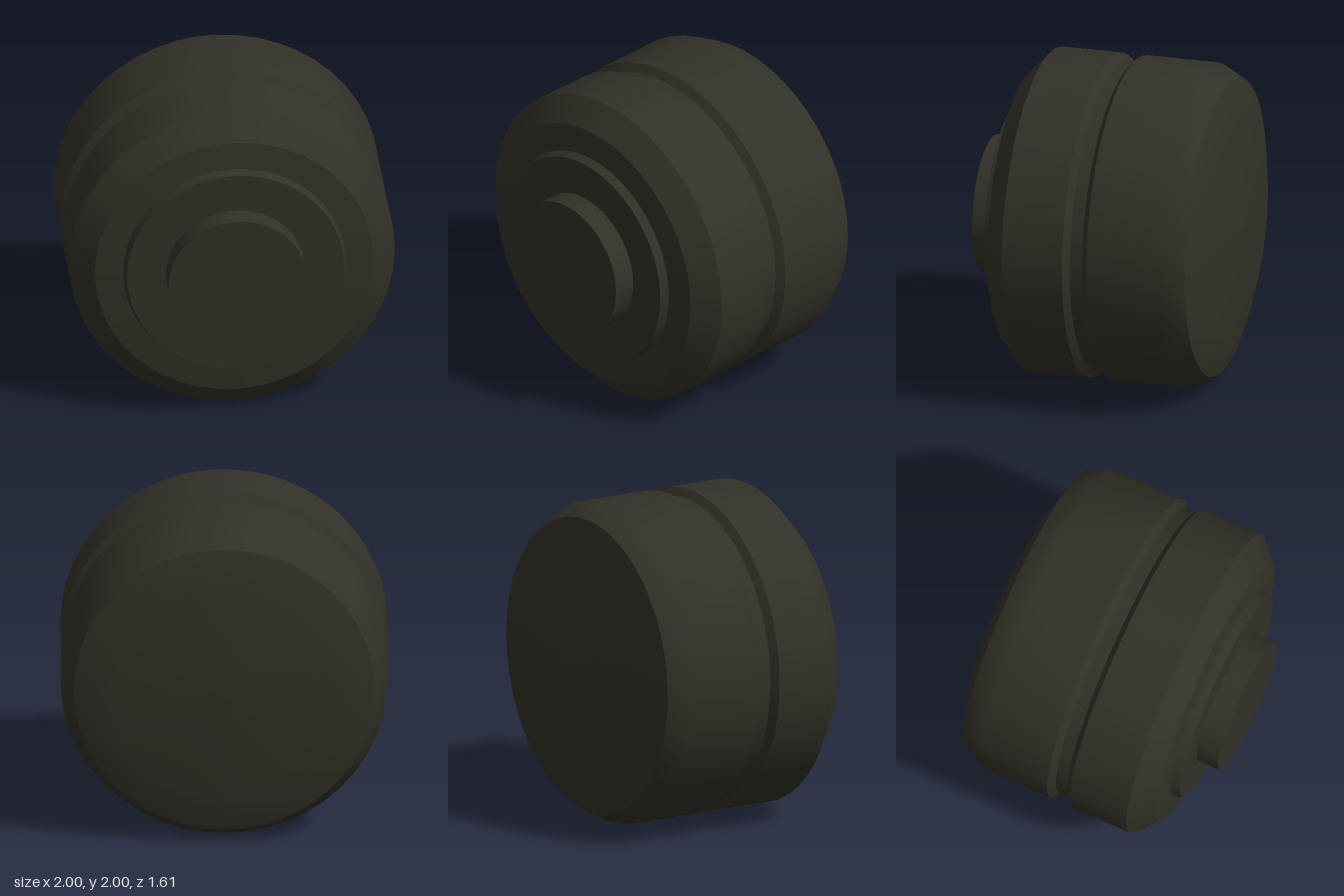
import * as THREE from 'three';

const SEGMENTS = 48;

export function createModel() {
  const model = new THREE.Group();
  model.name = 'roundKnob';
  const darkOlive = new THREE.MeshStandardMaterial({ color: 0x323127 });
  darkOlive.name = 'darkOlive';

  // Each part is turned around the z axis; smooth strips of [radius, z] meet at sharp edges.
  function turned(name, strips) {
    const part = new THREE.Group();
    part.name = name;
    strips.forEach((strip, i) => {
      const points = strip.map(([r, z]) => new THREE.Vector2(r, z));
      const geometry = new THREE.LatheGeometry(points, SEGMENTS);
      geometry.rotateX(Math.PI / 2);
      const mesh = new THREE.Mesh(geometry, darkOlive);
      mesh.name = `${name}Surface${i + 1}`;
      part.add(mesh);
    });
    part.position.y = 1;
    model.add(part);
  }

  // Shallow domed back, then the rounded rear drum
  turned('rearCap', [[[0, -0.803], [0.67, -0.767], [0.92, -0.69]]]);
  turned('rearDrum', [[[0.92, -0.69], [1, -0.54], [1, -0.083]]]);

  // Narrow groove around the middle
  turned('groove', [
    [[1, -0.083], [0.953, -0.045]],
    [[0.953, -0.045], [0.953, 0.033]],
    [[0.953, 0.033], [1, 0.07]],
  ]);

  // Front drum with its bevel and nearly flat shoulder
  turned('frontDrum', [
    [[1, 0.07], [1, 0.453]],
    [[1, 0.453], [0.857, 0.583]],
    [[0.857, 0.583], [0.685, 0.602]],
  ]);

  // Raised collar and stem on the front
  turned('collar', [
    [[0.685, 0.602], [0.667, 0.658]],
    [[0.667, 0.658], [0.427, 0.658]],
  ]);
  turned('stem', [
    [[0.427, 0.658], [0.427, 0.803]],
    [[0.427, 0.803], [0, 0.803]],
  ]);

  return model;
}
